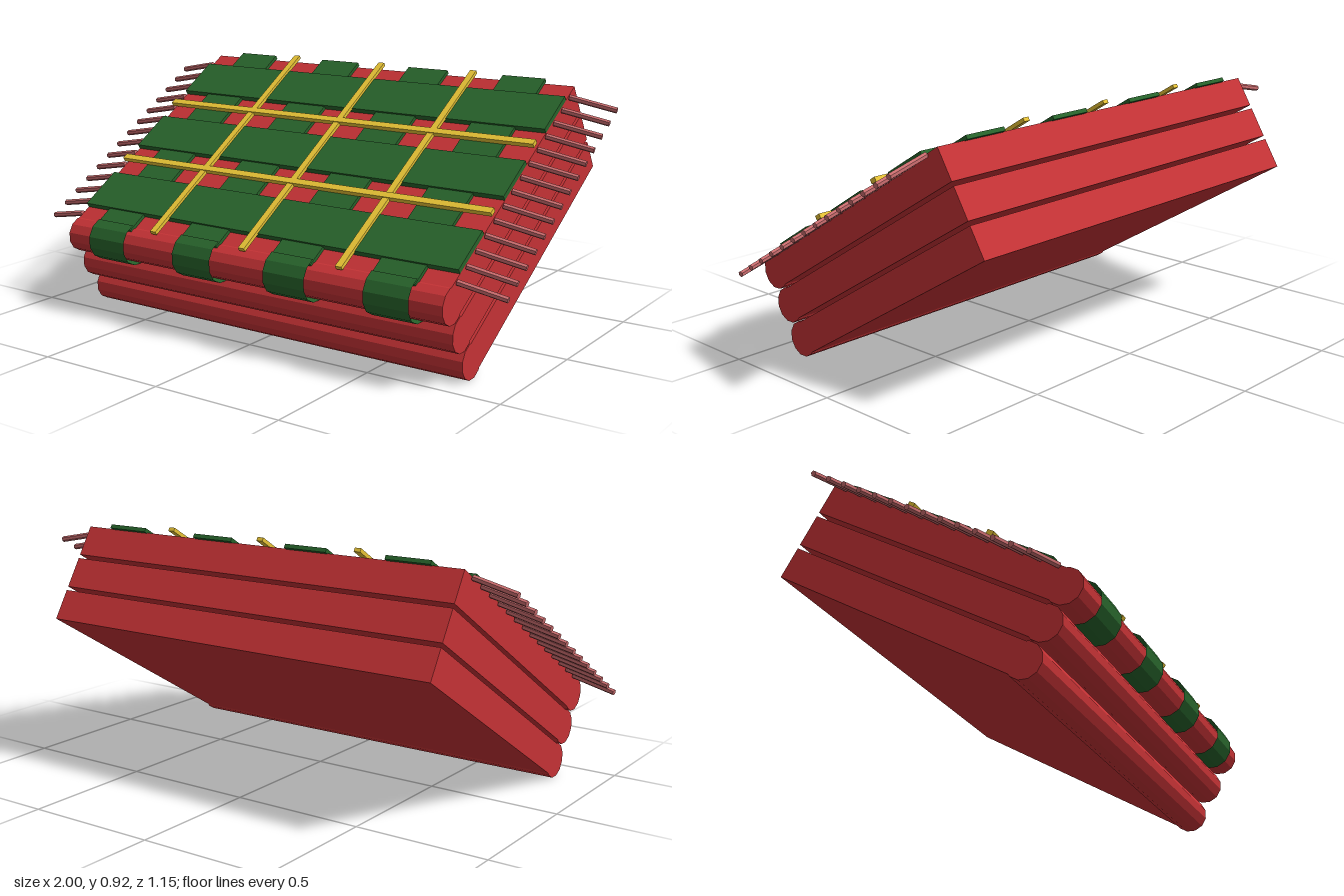
import * as THREE from 'three';

const mat = (color) => new THREE.MeshStandardMaterial({ color, flatShading: true, side: THREE.DoubleSide });
const RED = mat(0xc43235);
const GREEN = mat(0x27632b);
const YELLOW = mat(0xe6c235);
const PINK = mat(0xc96c6e);

const HALF_WIDTH = 0.82;
const FOLD_Z = 0.27;
const TILT = 0.55;

export function createModel() {
  const model = new THREE.Group();
  model.name = 'foldedBlanket';

  // Everything is laid out flat, then tilted as one
  const blanket = new THREE.Group();
  blanket.name = 'blanket';
  blanket.rotation.x = TILT;
  model.add(blanket);

  const add = (name, geometry, material) => {
    const mesh = new THREE.Mesh(geometry, material);
    mesh.name = name;
    blanket.add(mesh);
    return mesh;
  };

  // Box given by its limits on each axis
  const slab = (name, [x0, x1], [y0, y1], [z0, z1], material) => {
    const mesh = add(name, new THREE.BoxGeometry(x1 - x0, y1 - y0, z1 - z0), material);
    mesh.position.set((x0 + x1) / 2, (y0 + y1) / 2, (z0 + z1) / 2);
  };

  // Twelve-sided roll lying along x, flats facing up and forward
  const roll = (radius, length, open, startDeg, segments) =>
    new THREE.CylinderGeometry(radius, radius, length, segments, 1, open,
      THREE.MathUtils.degToRad(startDeg), segments * Math.PI / 6).rotateZ(Math.PI / 2);

  // Three folded layers, each with a rounded front fold
  const layerHeights = [0.245, 0.378, 0.511];
  for (const y of layerHeights) {
    slab('layer', [-HALF_WIDTH, HALF_WIDTH], [y - 0.059, y + 0.059], [-0.786, FOLD_Z], RED);
    add('fold', roll(0.066, HALF_WIDTH * 2, false, 15, 12), RED).position.set(0, y, FOLD_Z);
  }

  // Green stripes running front to back and wrapping over the top fold
  for (const x of [-0.615, -0.205, 0.205, 0.615]) {
    slab('longStripe', [x - 0.087, x + 0.087], [0.568, 0.583], [-0.8, FOLD_Z], GREEN);
    add('stripeWrap', roll(0.08, 0.174, true, -105, 7), GREEN).position.set(x, layerHeights[2], FOLD_Z);
  }

  // Green stripes running side to side
  for (const z of [-0.613, -0.261, 0.09]) {
    slab('crossStripe', [-HALF_WIDTH, HALF_WIDTH], [0.569, 0.589], [z - 0.092, z + 0.092], GREEN);
  }

  // Thin yellow lines in both directions
  for (const x of [-0.41, 0, 0.41]) {
    slab('longLine', [x - 0.013, x + 0.013], [0.585, 0.599], [-0.794, FOLD_Z], YELLOW);
  }
  for (const z of [-0.437, -0.086]) {
    slab('crossLine', [-HALF_WIDTH, HALF_WIDTH], [0.585, 0.602], [z - 0.013, z + 0.013], YELLOW);
  }

  // Drooping fringe strands on both sides
  for (const side of [-1, 1]) {
    for (let i = 0; i < 14; i++) {
      const z = -0.727 + i * 0.0725;
      const strand = new THREE.LineCurve3(
        new THREE.Vector3(side * 0.825, 0.566, z),
        new THREE.Vector3(side * 0.998, 0.526, z));
      const dir = strand.getTangent(0);
      const mesh = add('fringeStrand', new THREE.CylinderGeometry(0.011, 0.011, strand.getLength(), 6), PINK);
      mesh.position.copy(strand.getPoint(0.5));
      mesh.quaternion.setFromUnitVectors(new THREE.Vector3(0, 1, 0), dir);
    }
  }

  return model;
}
